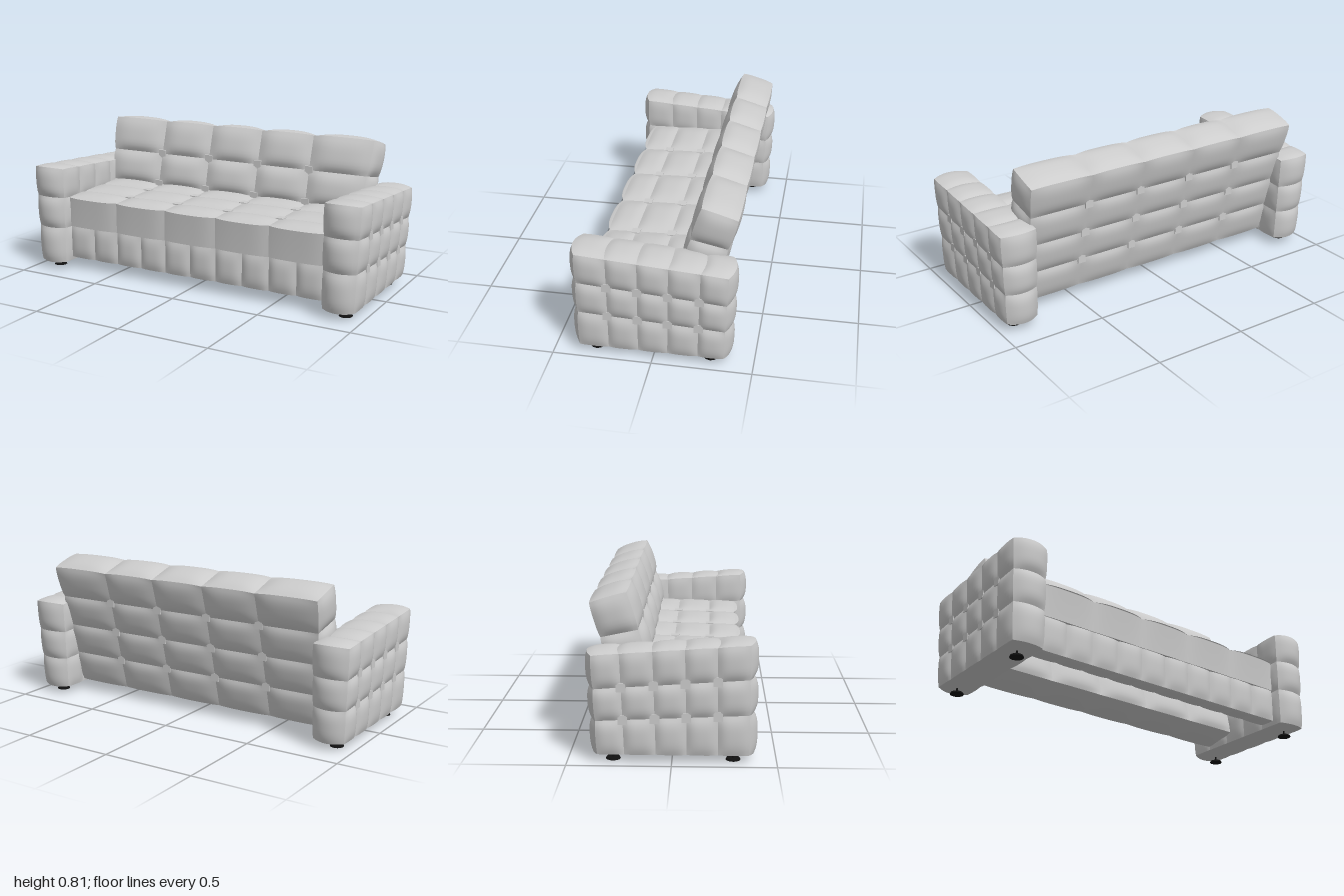
import * as THREE from 'three';

const grey = new THREE.MeshStandardMaterial({ color: 0xcccccc });
const black = new THREE.MeshStandardMaterial({ color: 0x111111 });
const SEG = 10;

// Piecewise linear lookup in a short table
function pick(table, t) {
  const i = Math.min(Math.floor(t), table.length - 2);
  return THREE.MathUtils.lerp(table[i], table[i + 1], t - i);
}

// Pillow height along n cells: 0 at inner seams, 1 mid-cell, slightly raised at the outer edges
function puff(c, n) {
  const p = 1 - Math.pow(Math.abs(2 * (c - Math.floor(c)) - 1), 3);
  return Math.min(c, n - c) < 0.5 ? 0.25 + 0.75 * p : p;
}

// Tufted block. cells = [nx, ny, nz]; warp maps cell coordinates to a position;
// bulge = [[-x, +x], [-y, +y], [-z, +z]]; buttons = list of [axis, side] faces
function tuftedBlock(name, cells, warp, bulge, buttons = []) {
  const group = new THREE.Group();
  group.name = name;
  const pos = [], index = [];

  // Push a point outward along every axis whose outer face is near, so edges scallop too
  const inflate = (c) => {
    const p = warp(...c);
    for (let d = 0; d < 3; d++) {
      const e = (d + 1) % 3, f = (d + 2) % 3;
      const lift = puff(c[e], cells[e]) * puff(c[f], cells[f]);
      const near = (dist) => Math.max(0, 1 - 2 * dist) ** 2;
      p[d] += lift * (bulge[d][1] * near(cells[d] - c[d]) - bulge[d][0] * near(c[d]));
    }
    return p;
  };

  for (let d = 0; d < 3; d++) for (let side = 0; side < 2; side++) {
    const e = (d + 1) % 3, f = (d + 2) % 3;
    const at = (a, b) => {
      const c = [0, 0, 0];
      c[d] = side * cells[d];
      c[e] = a;
      c[f] = b;
      return inflate(c);
    };
    // One separate smooth patch per cell keeps the seams sharp
    for (let a = 0; a < cells[e]; a++) for (let b = 0; b < cells[f]; b++) {
      const start = pos.length / 3, row = SEG + 1;
      for (let i = 0; i <= SEG; i++) for (let j = 0; j <= SEG; j++) {
        pos.push(...at(a + i / SEG, b + j / SEG));
      }
      for (let i = 0; i < SEG; i++) for (let j = 0; j < SEG; j++) {
        const q = start + i * row + j;
        if (side) index.push(q, q + row, q + row + 1, q, q + row + 1, q + 1);
        else index.push(q, q + row + 1, q + row, q, q + 1, q + row + 1);
      }
    }
    // Flat square buttons where seams cross
    if (buttons.some(([x, s]) => x === d && s === side)) {
      const size = [0.045, 0.045, 0.045];
      size[d] = 0.012;
      for (let a = 1; a < cells[e]; a++) for (let b = 1; b < cells[f]; b++) {
        const button = new THREE.Mesh(new THREE.BoxGeometry(...size), grey);
        button.name = 'button';
        button.position.set(...at(a, b));
        group.add(button);
      }
    }
  }

  const geo = new THREE.BufferGeometry();
  geo.setAttribute('position', new THREE.Float32BufferAttribute(pos, 3));
  geo.setIndex(index);
  geo.computeVertexNormals();
  const mesh = new THREE.Mesh(geo, grey);
  mesh.name = name + 'Upholstery';
  group.add(mesh);
  return group;
}

// Armrest: flares outward, top falls toward the back, rounded ends
function makeArm(s) {
  const zs = [-0.352, -0.225, -0.075, 0.072, 0.22, 0.365];
  const yFront = [0.045, 0.245, 0.42, 0.585];
  const yBack = [0.045, 0.212, 0.37, 0.532];
  const warp = (i, j, k) => {
    const t = s > 0 ? i : 1 - i;
    const dome = 1 - (2 * t - 1) ** 2;
    const x = THREE.MathUtils.lerp(0.795, 0.962 + 0.008 * j, t);
    const y = THREE.MathUtils.lerp(pick(yBack, j), pick(yFront, j), k / 5)
      + 0.005 * dome * (j / 1.5 - 1);
    const z = pick(zs, k) - 0.007 * j * (1 - k / 5) + 0.024 * dome * (k / 2.5 - 1);
    return [s * x, y, z];
  };
  const bx = s > 0 ? [0.012, 0.018] : [0.018, 0.012];
  return tuftedBlock(s > 0 ? 'leftArm' : 'rightArm', [1, 3, 5], warp,
    [bx, [0.006, 0.014], [0.016, 0.02]], [[0, s > 0 ? 1 : 0]]);
}

// Backrest: a slab leaning backward all the way, with a thick headrest row on top
function makeBack() {
  const zFront = [-0.035, -0.08, -0.123, -0.165, -0.22];
  const yFront = [0.1, 0.27, 0.442, 0.615, 0.798];
  const zBack = [-0.22, -0.262, -0.303, -0.345, -0.393];
  const yBack = [0.062, 0.232, 0.404, 0.577, 0.746];
  const widen = [0, 0, 0, 0.02, 0.034];
  const warp = (i, j, k) => {
    const c = i - 2.5;
    const end = Math.sign(c) * Math.max(0, Math.abs(c) - 1.5);
    return [
      c * 0.314 + end * pick(widen, j),
      THREE.MathUtils.lerp(pick(yBack, j), pick(yFront, j), k),
      THREE.MathUtils.lerp(pick(zBack, j), pick(zFront, j), k),
    ];
  };
  return tuftedBlock('backrest', [5, 4, 1], warp,
    [[0.025, 0.025], [0.01, 0.026], [0.018, 0.028]], [[2, 0], [2, 1]]);
}

// Seat cushion
function makeSeat() {
  const zs = [-0.19, -0.01, 0.178, 0.32];
  const warp = (i, j, k) => [
    (i - 2.5) * 0.314,
    j ? 0.432 - 0.005 * k : 0.25,
    pick(zs, k),
  ];
  return tuftedBlock('seat', [5, 1, 3], warp,
    [[0.005, 0.005], [0.01, 0.018], [0.01, 0.026]], [[1, 1]]);
}

// Narrow padded rail under the front of the seat
function makeRail() {
  const warp = (i, j, k) => [(i - 5) * 0.157, 0.067 + 0.185 * j, 0.23 + 0.085 * k];
  return tuftedBlock('frontRail', [10, 1, 1], warp,
    [[0.005, 0.005], [0.01, 0.005], [0.015, 0.018]]);
}

// Foot: thin stem on a flat disc
function makeFoot(x, z) {
  const foot = new THREE.Group();
  foot.name = 'foot';
  const disc = new THREE.Mesh(new THREE.CylinderGeometry(0.032, 0.036, 0.009, 12), black);
  disc.position.y = 0.0045;
  disc.name = 'footDisc';
  const stem = new THREE.Mesh(new THREE.CylinderGeometry(0.005, 0.005, 0.045, 10), black);
  stem.position.y = 0.029;
  stem.name = 'footStem';
  foot.add(disc, stem);
  foot.position.set(x, 0, z);
  return foot;
}

export function createModel() {
  const sofa = new THREE.Group();
  sofa.name = 'sofa';
  sofa.add(makeBack(), makeSeat(), makeRail());
  for (const s of [1, -1]) {
    sofa.add(makeArm(s));
    for (const z of [0.293, -0.283]) sofa.add(makeFoot(s * 0.893, z));
  }
  return sofa;
}
